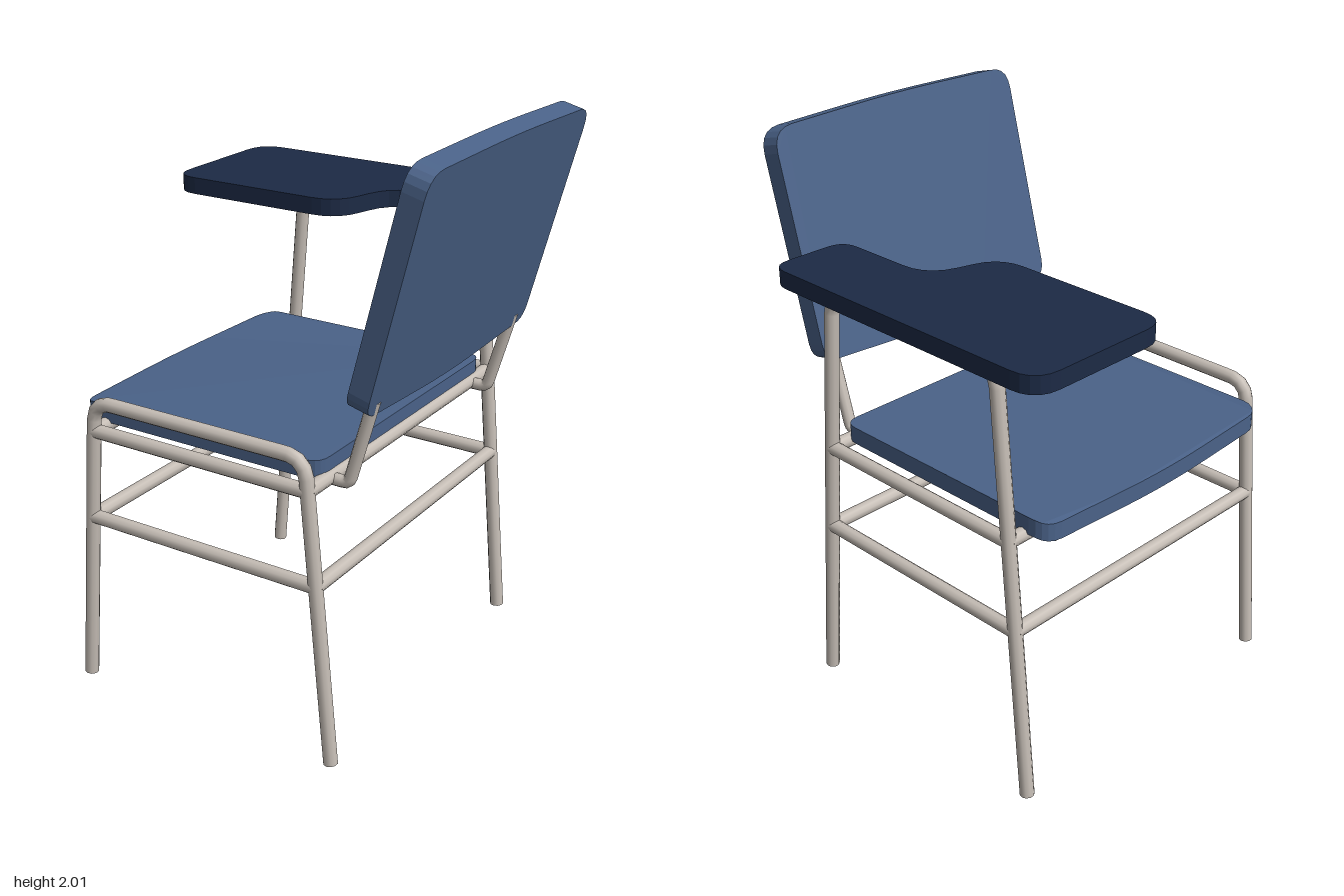
import * as THREE from 'three';

const steel = new THREE.MeshStandardMaterial({ color: 0xc6beb6, side: THREE.DoubleSide });
const blue = new THREE.MeshStandardMaterial({ color: 0x4a6288 });
const navy = new THREE.MeshStandardMaterial({ color: 0x1c2a45 });
const R = 0.025;
const Z_LEFT = 0.65, Z_DESK = -0.55;

// Legs lean inwards: x of the front and back leg at a height
const frontX = (y) => -0.575 + 0.085 * y;
const backX = (y) => 0.436 - 0.088 * y;

// Tube through points with rounded bends and closed ends
function tube(name, pts, bend = 0, radius = R) {
  const p = pts.map((a) => new THREE.Vector3(...a));
  const path = new THREE.CurvePath();
  let from = p[0];
  for (let i = 1; i < p.length - 1; i++) {
    const a = p[i].clone().add(p[i - 1].clone().sub(p[i]).setLength(bend));
    const b = p[i].clone().add(p[i + 1].clone().sub(p[i]).setLength(bend));
    path.add(new THREE.LineCurve3(from, a));
    path.add(new THREE.QuadraticBezierCurve3(a, p[i], b));
    from = b;
  }
  const end = p[p.length - 1];
  path.add(new THREE.LineCurve3(from, end));
  const group = new THREE.Group();
  group.name = name;
  group.add(new THREE.Mesh(new THREE.TubeGeometry(path, p.length > 2 ? 90 : 1, radius, 10), steel));
  for (const [at, next] of [[p[0], p[1]], [end, p[p.length - 2]]]) {
    const cap = new THREE.Mesh(new THREE.CircleGeometry(radius, 10), steel);
    cap.position.copy(at);
    cap.lookAt(at.clone().multiplyScalar(2).sub(next));
    group.add(cap);
  }
  group.children.forEach((m) => { m.name = name; });
  return group;
}

// Flat board: polygon of [x, y, corner radius], extruded by its thickness
function board(corners, depth) {
  const pts = corners.map(([x, y]) => new THREE.Vector2(x, y));
  const n = pts.length;
  const shape = new THREE.Shape();
  corners.forEach(([, , r], i) => {
    const c = pts[i];
    const a = c.clone().add(pts[(i + n - 1) % n].clone().sub(c).setLength(r));
    const b = c.clone().add(pts[(i + 1) % n].clone().sub(c).setLength(r));
    if (i === 0) shape.moveTo(a.x, a.y);
    else shape.lineTo(a.x, a.y);
    shape.quadraticCurveTo(c.x, c.y, b.x, b.y);
  });
  shape.closePath();
  return new THREE.ExtrudeGeometry(shape, { depth, bevelEnabled: false, curveSegments: 5 });
}

function addMesh(group, name, geometry, material) {
  const mesh = new THREE.Mesh(geometry, material);
  mesh.name = name;
  group.add(mesh);
}

export function createModel() {
  const chair = new THREE.Group();
  chair.name = 'tabletArmChair';

  // Side frames: one low arch, one tall arch that carries the desk
  for (const [name, z, top] of [['lowSideFrame', Z_LEFT, 1.07], ['deskSideFrame', Z_DESK, 1.55]]) {
    chair.add(tube(name, [
      [frontX(0), 0.005, z], [frontX(top), top, z], [backX(top), top, z], [backX(0), 0.005, z],
    ], 0.07));
  }

  // Seat rails and lower rungs, a ring at each height
  for (const [name, y] of [['rung', 0.64], ['seatRail', 0.963]]) {
    const f = frontX(y), b = backX(y);
    for (const z of [Z_LEFT, Z_DESK]) chair.add(tube(name + 'Side', [[f, y, z], [b, y, z]]));
    for (const x of [f, b]) chair.add(tube(name + 'Cross', [[x, y, Z_DESK], [x, y, Z_LEFT]]));
  }

  // Backrest supports run under the seat, then bend upwards
  for (const z of [0.52, -0.41]) {
    chair.add(tube('backrestSupport', [
      [frontX(0.96), 0.957, z], [0.42, 0.957, z], [0.505, 1.25, z],
    ], 0.02, 0.021));
  }

  // Seat: bowed front edge that drops slightly
  const seat = board([
    [0.355, -0.59, 0.06], [0.355, 0.49, 0.06], [-0.59, 0.49, 0.07],
    [-0.617, -0.05, 0.2], [-0.59, -0.59, 0.07],
  ], 0.062);
  seat.rotateX(-Math.PI / 2).translate(0, 0.972, 0);
  const pos = seat.attributes.position;
  for (let i = 0; i < pos.count; i++) {
    const drop = Math.max(0, -0.54 - pos.getX(i)) * 0.22;
    pos.setY(i, pos.getY(i) - drop);
  }
  seat.computeVertexNormals();
  addMesh(chair, 'seat', seat, blue);

  // Backrest: bowed lower edge, leaning back
  const back = board([
    [-0.535, 0.025, 0.06], [0, -0.005, 0.2], [0.535, 0.025, 0.06],
    [0.535, 0.818, 0.08], [0, 0.832, 0.2], [-0.535, 0.818, 0.08],
  ], 0.076);
  back.rotateY(Math.PI / 2).rotateZ(-0.255).translate(0.432, 1.206, 0.05);
  addMesh(chair, 'backrest', back, blue);

  // Writing desk with a cut-out for the arm
  const desk = board([
    [-0.72, 0.672, 0.1], [0.445, 0.672, 0.07], [0.445, 0.375, 0.07],
    [0.04, 0.375, 0.11], [-0.03, 0.115, 0.1], [-0.72, 0.115, 0.09],
  ], 0.06);
  desk.rotateX(-Math.PI / 2).translate(0, 1.575, 0);
  addMesh(chair, 'writingDesk', desk, navy);

  return chair;
}
